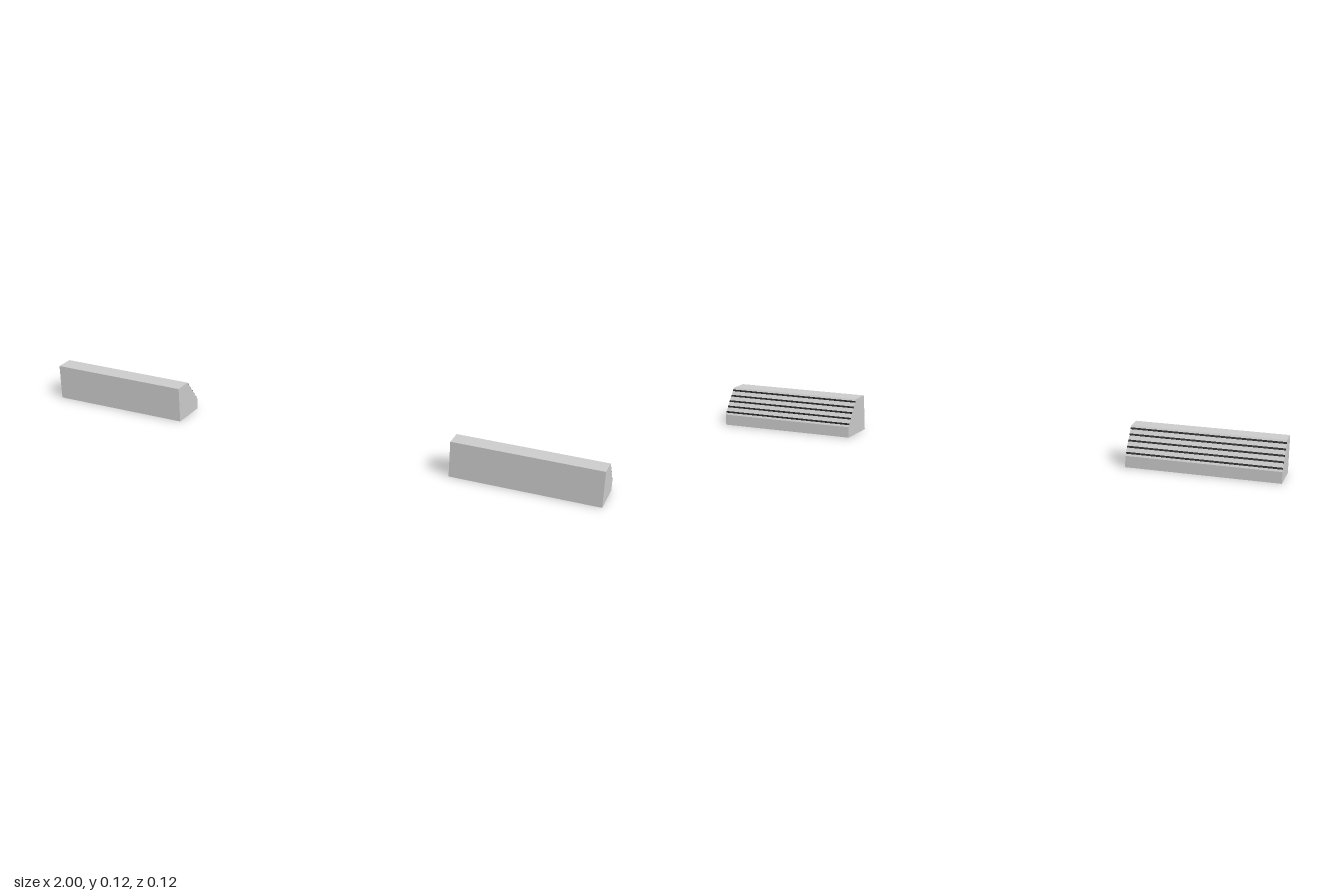
import * as THREE from 'three';

const LENGTH = 0.5, HEIGHT = 0.125, HALF_DEPTH = 0.0625, BACK_HEIGHT = 0.038;

export function createModel() {
  const model = new THREE.Group();
  const grey = new THREE.MeshStandardMaterial({ color: 0xcccccc, flatShading: true });
  const dark = new THREE.MeshStandardMaterial({ color: 0x222222, flatShading: true });

  // End profile, drawn with -z to the right, then swept along x
  const profile = new THREE.Shape([
    [-HALF_DEPTH, 0], [HALF_DEPTH, 0], [HALF_DEPTH, BACK_HEIGHT],
    [0, HEIGHT], [-HALF_DEPTH, HEIGHT],
  ].map(([a, y]) => new THREE.Vector2(a, y)));
  const bodyGeometry = new THREE.ExtrudeGeometry(profile, { depth: LENGTH, bevelEnabled: false })
    .translate(0, 0, -LENGTH / 2)
    .rotateY(Math.PI / 2);

  // Thin strips lying almost flush on the rear slope
  const drop = HEIGHT - BACK_HEIGHT;
  const tilt = Math.atan2(-drop, HALF_DEPTH);
  const stripGeometry = new THREE.BoxGeometry(LENGTH, 0.002, 0.006).rotateX(tilt);

  for (const side of [-1, 1]) {
    const block = new THREE.Group();
    block.name = side > 0 ? 'leftBlock' : 'rightBlock';
    block.position.x = side * 0.75;

    const body = new THREE.Mesh(bodyGeometry, grey);
    body.name = 'wedgeBody';
    block.add(body);

    for (let i = 0; i < 5; i++) {
      const t = 0.1 + i * 0.2;
      const strip = new THREE.Mesh(stripGeometry, dark);
      strip.name = 'slopeStrip';
      strip.position.set(0, HEIGHT - t * drop, -t * HALF_DEPTH);
      block.add(strip);
    }
    model.add(block);
  }
  return model;
}
